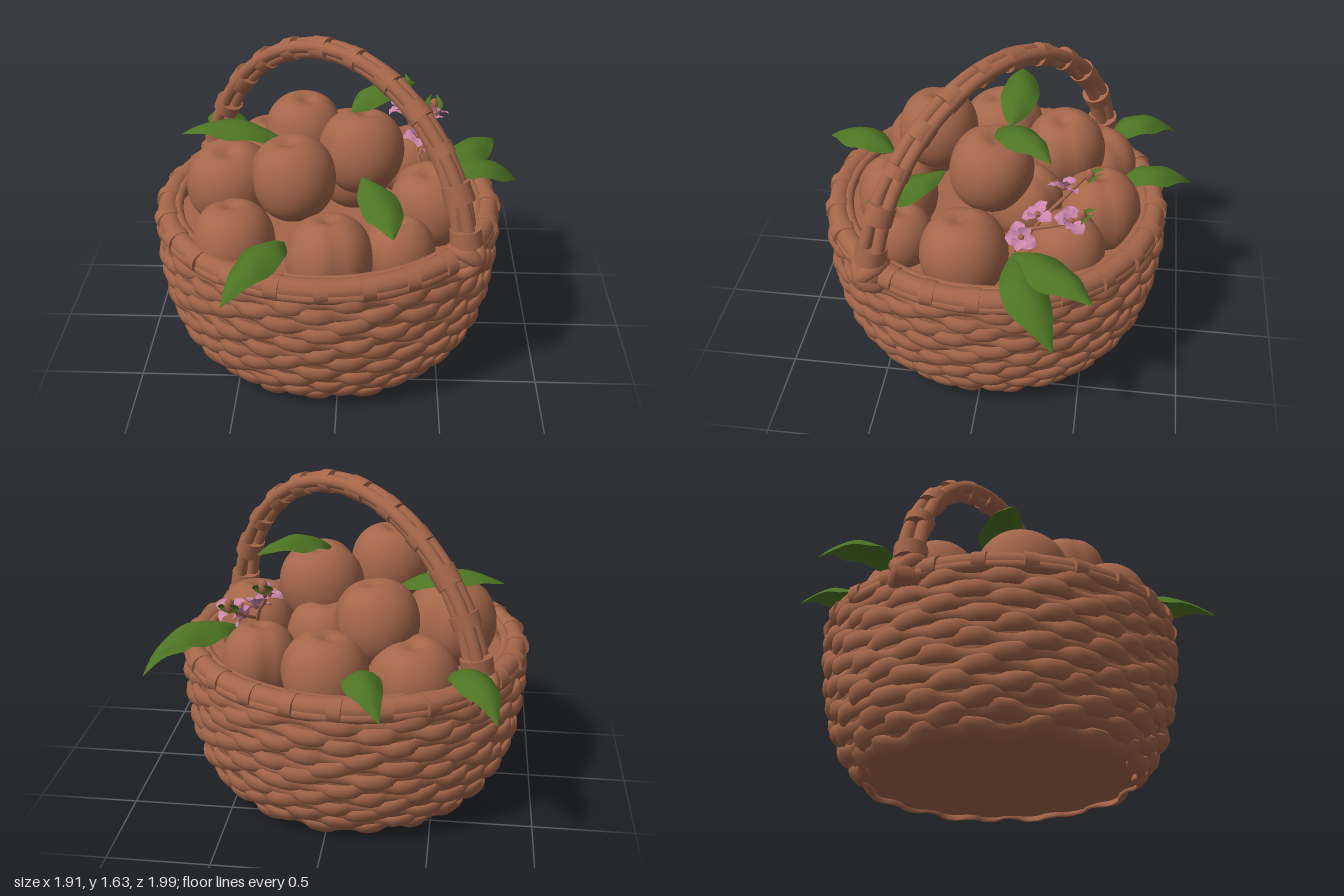
import * as THREE from 'three';
import { mergeVertices, toCreasedNormals } from 'three/addons/utils/BufferGeometryUtils.js';

const V = (x, y, z) => new THREE.Vector3(x, y, z);
const CX = -0.07; // basket axis

const material = (name, color, side = THREE.FrontSide) => {
  const m = new THREE.MeshStandardMaterial({ color, side });
  m.name = name;
  return m;
};

// move every vertex by a rule, weld seams and smooth
function reshape(g, rule) {
  g.deleteAttribute('uv');
  g.deleteAttribute('normal');
  const p = g.attributes.position, v = V(0, 0, 0);
  for (let i = 0; i < p.count; i++) {
    rule(v.fromBufferAttribute(p, i));
    p.setXYZ(i, v.x, v.y, v.z);
  }
  const out = mergeVertices(g, 1e-4);
  out.computeVertexNormals();
  return out;
}

// curved blade running from base over mid to tip; droop lowers its edges
function bladeGeometry(base, mid, tip, width, droop = 0.55) {
  const ctrl = mid.clone().multiplyScalar(2).addScaledVector(base, -0.5).addScaledVector(tip, -0.5);
  const curve = new THREE.QuadraticBezierCurve3(base, ctrl, tip);
  const dir = tip.clone().sub(base);
  const side = V(-dir.z, 0, dir.x).normalize();
  const g = new THREE.PlaneGeometry(1, 1, 6, 14);
  return reshape(g, v => {
    const t = v.y + 0.5, s = v.x * 2;
    const w = width * 0.5 * Math.sin(Math.PI * Math.pow(t, 0.85)) + 0.003;
    const ripple = 0.1 * w * Math.sin(t * 14 + s * 3) * Math.abs(s);
    v.copy(curve.getPoint(t)).addScaledVector(side, s * w);
    v.y += ripple - w * droop * (s * s - 0.3);
  });
}

export function createModel() {
  const model = new THREE.Group();
  const brown = material('warm brown', 0xa4664a);
  const green = material('leaf green', 0x4d7424, THREE.DoubleSide);
  const pink = material('petal pink', 0xcb86ab, THREE.DoubleSide);
  const add = (name, geo, mat, parent = model) => {
    const m = new THREE.Mesh(geo, mat);
    m.name = name;
    parent.add(m);
    return m;
  };
  const group = (name, x = 0, y = 0, z = 0) => {
    const g = new THREE.Group();
    g.name = name;
    g.position.set(x, y, z);
    model.add(g);
    return g;
  };

  // basket shell behind the weave
  const basket = group('basket', CX);
  const wall = [[0.66, 0.03], [0.72, 0.1], [0.775, 0.2], [0.815, 0.35], [0.835, 0.5], [0.845, 0.62], [0.835, 0.74]];
  const radiusAt = y => {
    let i = 0;
    while (i < wall.length - 2 && wall[i + 1][1] < y) i++;
    const [a, b] = [wall[i], wall[i + 1]];
    return a[0] + (b[0] - a[0]) * (y - a[1]) / (b[1] - a[1]);
  };
  const shell = [[0, 0.03], ...wall.map(([r, y]) => [r + 0.002, y]),
    ...wall.slice().reverse().map(([r, y]) => [r - 0.04, y + 0.02]), [0, 0.05]];
  add('basketShell', toCreasedNormals(new THREE.LatheGeometry(shell.map(p => new THREE.Vector2(...p)), 64), 0.7), brown, basket);

  // flat woven strands, alternating in and out from row to row
  const rows = 12;
  for (let i = 0; i < rows; i++) {
    const y0 = 0.042 + i * 0.0585, R = radiusAt(y0);
    const g = new THREE.TorusGeometry(R, 0.022, 8, 200).rotateX(Math.PI / 2);
    add('wovenStrand', reshape(g, v => {
      const a = Math.atan2(v.z, v.x), r = Math.hypot(v.x, v.z);
      const wave = Math.tanh(1.6 * Math.sin(17 * a + Math.PI * i + 0.8 * Math.sin(3 * a + i * 1.3)));
      const nr = r + 0.018 * wave + 0.004;
      const y = y0 + v.y * (1.75 + 0.2 * wave) + 0.009 * Math.sin(9 * a + i * 2.4);
      // lean each strand with the slope of the wall
      const lean = (radiusAt(y) - R) * 0.8;
      v.set(Math.cos(a) * (nr + lean), Math.max(y, 0), Math.sin(a) * (nr + lean));
    }), brown, basket);
  }

  // rim strands with wrapped bands
  for (const [r, tube, y] of [[0.815, 0.053, 0.755], [0.765, 0.026, 0.77], [0.845, 0.03, 0.73]]) {
    const m = add('rim', new THREE.TorusGeometry(r, tube, 12, 96), brown, basket);
    m.rotation.x = Math.PI / 2;
    m.position.y = y;
  }
  const bands = 24;
  for (let i = 0; i < bands; i++) {
    const a = (i / bands) * Math.PI * 2;
    const m = add('rimBand', new THREE.CylinderGeometry(0.062, 0.06, 0.065, 14), brown, basket);
    m.position.set(0.817 * Math.cos(a), 0.752, 0.817 * Math.sin(a));
    m.rotation.set(Math.PI / 2, 0, a + 0.12 * Math.sin(i * 5));
    m.scale.set(1.1, 1, 0.97);
  }

  // handle: three strands arching diagonally over the basket, thicker at the feet
  const handle = group('handle', -0.05);
  const across = V(-0.52, 0, 0.66).normalize();
  const arch = u => {
    const s = Math.sin(u), c = Math.cos(u);
    return V(-(0.66 - 0.04 * s) * c + 0.035 * s, 0.75 + 0.82 * s, -(0.52 - 0.03 * s) * c - 0.015 * s);
  };
  const outward = u => V(-0.66 * Math.cos(u), 0.8 * Math.sin(u), -0.52 * Math.cos(u)).normalize();
  const flare = u => 1 + 0.35 * Math.cos(u) ** 6;
  for (let k = 0; k < 3; k++) {
    const pts = [];
    for (let i = 0; i <= 24; i++) {
      const u = (i / 24) * Math.PI, a = k * Math.PI * 2 / 3 + u * 0.4;
      pts.push(arch(u).addScaledVector(across, 0.032 * flare(u) * Math.cos(a))
        .addScaledVector(outward(u), 0.024 * flare(u) * Math.sin(a)));
    }
    add('handleStrand', new THREE.TubeGeometry(new THREE.CatmullRomCurve3(pts), 72, 0.032, 10), brown, handle);
  }
  const wraps = 12;
  for (let i = 0; i < wraps; i++) {
    const u = 0.14 + (i / (wraps - 1)) * (Math.PI - 0.28);
    const r = 0.06 * flare(u);
    const m = add('handleBand', new THREE.CylinderGeometry(r, r * 0.95, 0.08 + 0.02 * Math.sin(i * 4), 14), brown, handle);
    m.position.copy(arch(u));
    const tangent = arch(u + 0.01).sub(arch(u - 0.01)).normalize();
    m.quaternion.setFromUnitVectors(V(0, 1, 0), tangent);
  }

  // crossed lashings where the handle meets the rim
  for (const s of [-1, 1]) {
    const knot = group('handleKnot', -0.05 + s * 0.655, 0.755, s * 0.515);
    knot.rotation.y = Math.atan2(0.66 * s, 0.52 * s);
    for (const tilt of [-0.75, 0.75]) {
      const m = add('lashing', new THREE.TorusGeometry(0.064, 0.03, 10, 24), brown, knot);
      m.rotation.set(0, Math.PI / 2, tilt, 'ZYX');
      m.scale.set(1.1, 1.2, 1.3);
    }
    add('knotCore', new THREE.SphereGeometry(0.08, 16, 12), brown, knot);
  }

  // fill the fruit rests on
  const bed = add('fruitBed', new THREE.CircleGeometry(0.805, 48), brown, basket);
  bed.rotation.x = -Math.PI / 2;
  bed.position.y = 0.64;

  // fruit with a dimpled top and a shallow crease
  const fruitShape = reshape(new THREE.SphereGeometry(1, 36, 28), v => {
    const rho = Math.hypot(v.x, v.z), a = Math.atan2(v.z, v.x);
    const crease = 1 - 0.09 * Math.exp(-((a / 0.22) ** 2)) * rho;
    const full = 1 + 0.06 * Math.sin(Math.PI * rho) * (v.y > 0 ? 1 : 0.3) + 0.015 * Math.sin(2 * a + 2 * v.y) * rho;
    const dip = v.y > 0 ? 0.2 * Math.exp(-((rho / 0.25) ** 2)) + 0.06 * Math.exp(-((a / 0.35) ** 2)) * rho * v.y : 0;
    v.set(v.x * crease * full, v.y * (1 + 0.03 * full) - dip, v.z * crease * full);
  });
  const fruits = [ // x, y, z, radius, turn
    [0.02, 0.79, -0.54, 0.21, 0.3], [-0.21, 0.99, -0.34, 0.205, 0.2], [0.1, 1.05, 0, 0.212, 3.6],
    [-0.22, 1.06, 0.32, 0.205, 3.3], [-0.56, 0.86, 0.02, 0.225, 1.2], [-0.5, 0.78, 0.45, 0.2, 2.2],
    [-0.04, 0.74, 0.52, 0.212, 5], [0.45, 0.79, 0.09, 0.215, 2.9], [0.29, 0.73, 0.44, 0.175, 4],
    [-0.4, 0.76, -0.5, 0.215, 0.8], [0.35, 0.79, -0.4, 0.185, 2], [0.06, 0.84, -0.17, 0.19, 1],
  ];
  fruits.forEach(([x, y, z, r, turn], i) => {
    const m = add('fruit', fruitShape, brown);
    m.position.set(x, y, z);
    m.scale.setScalar(r);
    m.rotation.set(0.12 * Math.sin(i * 2), turn, 0.12 * Math.cos(i * 3));
  });

  // leaves: base, middle, tip, width
  const leaves = [
    [V(-0.57, 0.83, -0.56), V(-0.69, 0.9, -0.73), V(-0.79, 0.77, -0.92), 0.19],
    [V(-0.17, 0.84, -0.63), V(-0.19, 0.91, -0.82), V(-0.28, 0.79, -1.0), 0.18],
    [V(-0.28, 1.06, -0.05), V(-0.55, 1.15, -0.07), V(-0.81, 1.1, -0.05), 0.2],
    [V(0.05, 1.25, -0.02), V(0.2, 1.33, -0.16), V(0.37, 1.29, -0.31), 0.19],
    [V(-0.25, 0.86, 0.58), V(-0.36, 0.9, 0.78), V(-0.5, 0.77, 0.99), 0.2],
    [V(0.11, 1.02, 0.23), V(0.21, 0.98, 0.42), V(0.26, 0.9, 0.61), 0.2],
    [V(0.5, 0.85, -0.15), V(0.67, 0.91, -0.35), V(0.82, 0.85, -0.55), 0.22],
    [V(0.5, 0.84, -0.15), V(0.77, 0.85, -0.25), V(0.95, 0.66, -0.39), 0.22],
  ];
  for (const l of leaves) add('leaf', bladeGeometry(...l), green);

  // blossom sprig: stems, buds and five-petalled flowers
  const stem = (...pts) => add('stem', new THREE.TubeGeometry(new THREE.CatmullRomCurve3(pts), 16, 0.009, 6), brown);
  stem(V(0.42, 0.8, -0.15), V(0.37, 1.0, -0.3), V(0.32, 1.1, -0.4), V(0.31, 1.22, -0.49));
  stem(V(0.4, 0.92, -0.2), V(0.45, 1.0, -0.35), V(0.49, 1.08, -0.46));
  for (const [x, y, z] of [[0.31, 1.2, -0.49], [0.48, 1.09, -0.47]]) {
    const bud = add('bud', new THREE.SphereGeometry(0.022, 12, 10), brown);
    bud.position.set(x, y, z);
    bud.scale.y = 1.6;
    for (const s of [-1, 1])
      add('budLeaf', bladeGeometry(V(x, y - 0.04, z), V(x + s * 0.03, y, z - 0.01), V(x + s * 0.015, y + 0.03, z - 0.06), 0.035), green);
  }
  const petal = bladeGeometry(V(0, 0, 0), V(0, 0.018, 0.045), V(0, 0.01, 0.08), 0.07, -0.3);
  const flowers = [ // x, y, z, tilt about x, tilt about z
    [0.31, 1.11, -0.37, -0.1, 0.35], [0.39, 1.0, -0.26, 0.25, -0.15],
    [0.48, 1.05, -0.42, -0.25, -0.5], [0.46, 0.92, -0.19, 0.15, -0.95],
  ];
  for (const [x, y, z, rx, rz] of flowers) {
    const flower = group('flower', x, y, z);
    flower.rotation.set(rx, 0, rz);
    for (let i = 0; i < 5; i++) {
      const p = add('petal', petal, pink, flower);
      p.rotation.set(i % 2 ? -0.5 : 0.15, i * Math.PI * 0.4, 0, 'YXZ');
    }
    add('flowerCentre', new THREE.SphereGeometry(0.016, 10, 8), brown, flower).position.y = 0.01;
  }
  return model;
}
